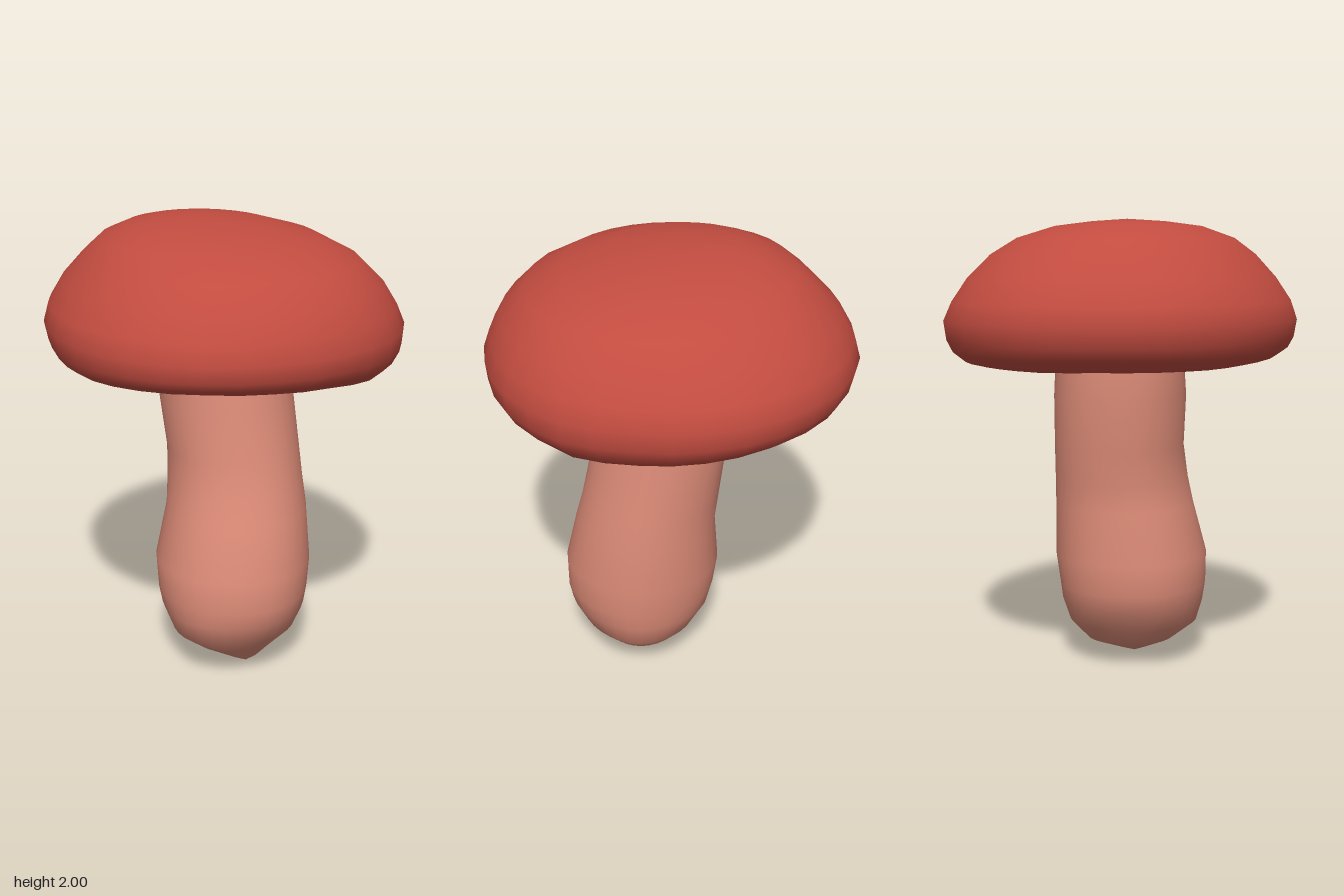
import * as THREE from 'three';
import { mergeVertices } from 'three/addons/utils/BufferGeometryUtils.js';

const SEG = 32;

// Periodic linear lookup in a list of values spread evenly around the circle
function around(list, a) {
  const t = (a / (2 * Math.PI)) * list.length;
  const i = Math.floor(t), n = list.length;
  return THREE.MathUtils.lerp(list[i % n], list[(i + 1) % n], t - i);
}

// Skin over rings of [y, xMin, xMax, zMin, zMax, lift]; bulge scales the outline by angle,
// lift weighs the vertical offset returned by rise(angle)
function loft(rings, bulge, rise) {
  const pos = [], index = [];
  for (const [y, x0, x1, z0, z1, lift = 0] of rings) {
    for (let j = 0; j < SEG; j++) {
      const a = (j / SEG) * 2 * Math.PI, k = bulge(a);
      pos.push(
        (x0 + x1) / 2 + ((x1 - x0) / 2) * k * Math.cos(a),
        y + lift * rise(a),
        (z0 + z1) / 2 + ((z1 - z0) / 2) * k * Math.sin(a)
      );
    }
  }
  for (let i = 0; i < rings.length - 1; i++) {
    for (let j = 0; j < SEG; j++) {
      const n = (j + 1) % SEG;
      const a = i * SEG + j, b = i * SEG + n, c = a + SEG, d = b + SEG;
      index.push(a, c, b, b, c, d);
    }
  }
  let g = new THREE.BufferGeometry();
  g.setAttribute('position', new THREE.Float32BufferAttribute(pos, 3));
  g.setIndex(index);
  g = mergeVertices(g, 1e-5);
  g.computeVertexNormals();
  return g;
}

export function createModel() {
  const red = new THREE.MeshStandardMaterial({ color: 0xc24c40, side: THREE.DoubleSide });
  red.name = 'cap red';
  const pink = new THREE.MeshStandardMaterial({ color: 0xdf8d79, side: THREE.DoubleSide });
  pink.name = 'stem pink';

  const group = new THREE.Group();
  group.name = 'mushroom';
  const add = (name, geometry, material) => {
    const mesh = new THREE.Mesh(geometry, material);
    mesh.name = name;
    group.add(mesh);
  };

  // Cap: hollow underside, rolled wavy rim, then the dome up to an off-centre crown
  const outline = [1, 1.005, 1.03, 1.02, 1, 0.98, 0.985, 1, 1, 1.035, 1.04, 1.02, 1, 0.985, 1.02, 1.02];
  const rimWave = [0.015, 0.03, 0.04, 0.03, 0.015, 0.005, 0, 0, 0, -0.005, -0.005, -0.01, -0.02, -0.03, -0.035, -0.015];
  const capRings = [
    [1.52, -0.22, 0.25, -0.24, 0.22],
    [1.55, -0.4, 0.41, -0.4, 0.4],
    [1.53, -0.52, 0.53, -0.52, 0.52, 0.4],
    [1.47, -0.58, 0.58, -0.57, 0.57, 0.8],
    [1.41, -0.57, 0.57, -0.56, 0.56, 1],
    [1.385, -0.62, 0.62, -0.61, 0.61, 1],
    [1.40, -0.68, 0.69, -0.675, 0.68, 1],
    [1.44, -0.73, 0.74, -0.73, 0.73, 0.7],
    [1.49, -0.765, 0.772, -0.755, 0.755, 0.4],
    [1.57, -0.785, 0.78, -0.765, 0.768, 0.1],
    [1.65, -0.765, 0.752, -0.728, 0.742],
    [1.75, -0.71, 0.70, -0.66, 0.675],
    [1.85, -0.615, 0.60, -0.56, 0.585],
    [1.92, -0.53, 0.45, -0.44, 0.495],
    [1.97, -0.41, 0.24, -0.27, 0.36],
    [1.99, -0.3, 0.05, -0.1, 0.21],
    [2.0, -0.15, -0.15, 0.05, 0.05]
  ];
  add('cap', loft(capRings, a => around(outline, a), a => around(rimWave, a)), red);

  // Stem: leaning, swollen below, tapering to an off-centre tip, ragged where it meets the collar
  const ragged = a => 0.016 * Math.sin(5 * a + 1) + 0.01 * Math.sin(9 * a);
  const ridges = a => 1 + 0.008 * Math.cos(5 * a);
  const seam = [1.415, -0.265, 0.297, -0.295, 0.272, 1];
  add('stem', loft([
    [0, 0.215, 0.215, 0.03, 0.03],
    [0.035, 0.12, 0.26, -0.05, 0.1],
    [0.1, -0.05, 0.315, -0.18, 0.22],
    [0.18, -0.12, 0.395, -0.26, 0.325],
    [0.28, -0.19, 0.445, -0.29, 0.355],
    [0.36, -0.212, 0.462, -0.3, 0.367],
    [0.5, -0.23, 0.465, -0.318, 0.37],
    [0.73, -0.207, 0.42, -0.315, 0.31],
    [0.85, -0.22, 0.39, -0.312, 0.287],
    [1.0, -0.237, 0.36, -0.31, 0.27],
    [1.23, -0.27, 0.323, -0.305, 0.284],
    seam
  ], ridges, ragged), pink);

  // Collar: red top of the stem, joining the underside of the cap
  add('collar', loft([seam, [1.49, -0.275, 0.3, -0.3, 0.28], [1.56, -0.31, 0.33, -0.33, 0.31]], ridges, ragged), red);

  return group;
}
